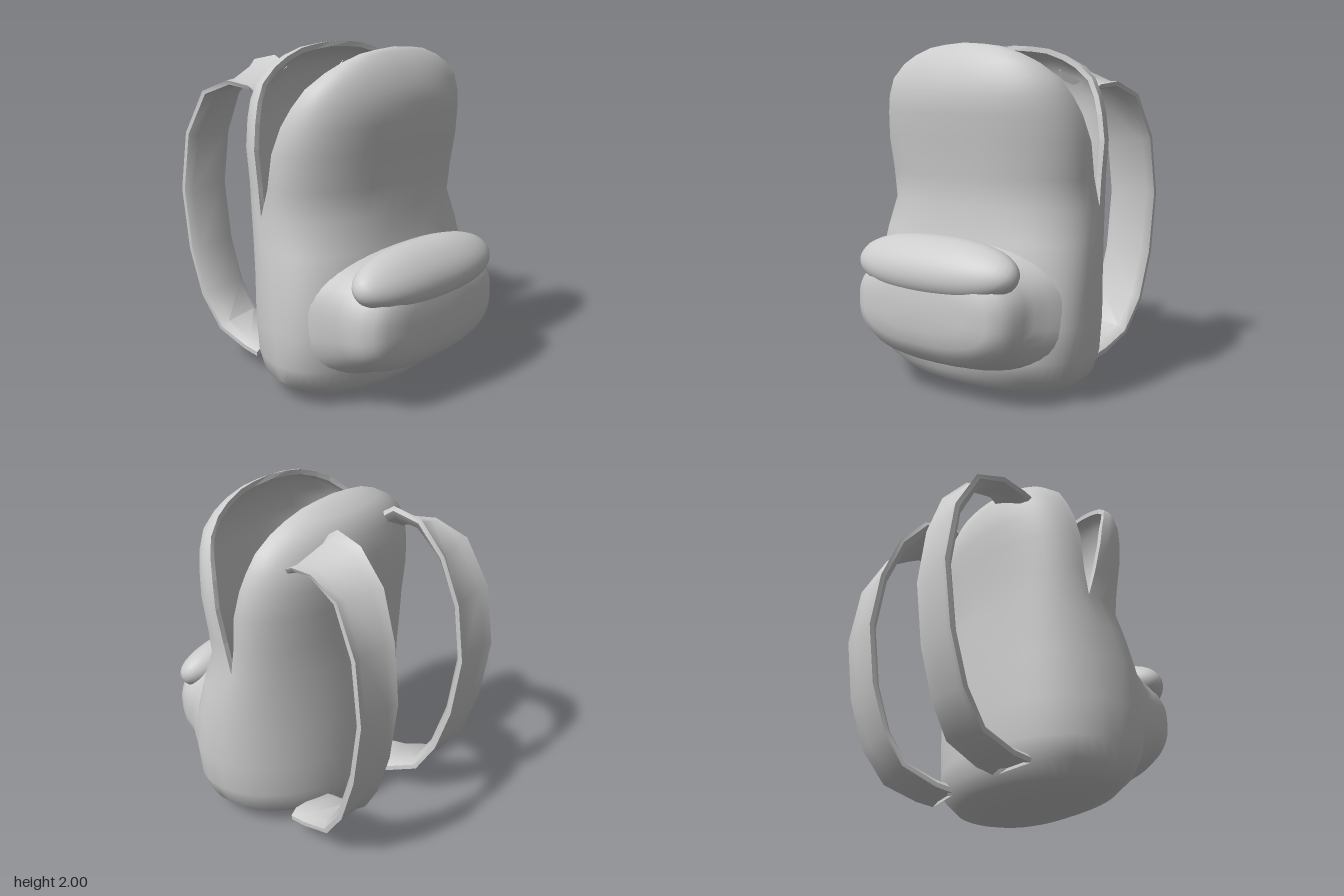
import * as THREE from 'three';
import { mergeVertices, toCreasedNormals } from 'three/addons/utils/BufferGeometryUtils.js';

const material = new THREE.MeshStandardMaterial({ color: 0xcccccc, side: THREE.DoubleSide });
const { lerp, smoothstep } = THREE.MathUtils;

// Body levels: y, half width, front z, front seam z, back seam z, back z.
// The two seams part above y = 1.08, which opens the bag.
const LEVELS = [
  [0, 0, 0.12, 0.12, 0.12, 0.12],
  [0.01, 0.43, 0.38, 0.15, 0.15, -0.12],
  [0.05, 0.59, 0.48, 0.17, 0.17, -0.26],
  [0.13, 0.685, 0.55, 0.19, 0.19, -0.33],
  [0.25, 0.725, 0.58, 0.2, 0.2, -0.345],
  [0.45, 0.74, 0.58, 0.2, 0.2, -0.35],
  [0.7, 0.73, 0.56, 0.17, 0.17, -0.345],
  [0.9, 0.71, 0.53, 0.11, 0.11, -0.34],
  [1.08, 0.69, 0.49, 0.045, 0.045, -0.335],
  [1.25, 0.685, 0.5, 0.1, 0.02, -0.335],
  [1.45, 0.69, 0.525, 0.145, 0, -0.35],
  [1.6, 0.66, 0.545, 0.19, -0.02, -0.36],
  [1.7, 0.625, 0.55, 0.235, -0.04, -0.355],
  [1.8, 0.57, 0.53, 0.285, -0.058, -0.33],
  [1.88, 0.47, 0.495, 0.33, -0.072, -0.3],
  [1.93, 0.37, 0.465, 0.355, -0.083, -0.25],
  [1.97, 0.25, 0.43, 0.375, -0.093, -0.19],
  [1.985, 0.14, 0.41, 0.385, -0.098, -0.14],
  [1.995, 0, 0.39, 0.39, -0.1, -0.1],
];

const power = (v, e) => Math.sign(v) * Math.abs(v) ** e;
// The front is boxiest around the pocket, rounder at the foot and the top
const frontExponent = (y) => 0.78 + 0.17 * (1 - smoothstep(y, 0.05, 0.35)) + 0.09 * smoothstep(y, 0.7, 1.2);

function geometryFrom(positions, index) {
  const geo = new THREE.BufferGeometry();
  geo.setAttribute('position', new THREE.Float32BufferAttribute(positions, 3));
  if (index) geo.setIndex(index);
  return geo;
}

// Outer skin: a front and a back half section at every level, welded below the opening
function bodySkin() {
  const N = 28, pos = [];
  for (const front of [true, false]) {
    const point = (i, j) => {
      const [y, w, zf, seamF, seamB, zb] = LEVELS[j];
      const a = (i / N) * Math.PI, e = front ? frontExponent(y) : 0.98;
      const seam = front ? seamF : seamB, far = front ? zf : zb;
      return [w * power(Math.cos(a), e), y, seam + (far - seam) * power(Math.sin(a), e)];
    };
    for (let j = 0; j < LEVELS.length - 1; j++) {
      for (let i = 0; i < N; i++) {
        const a = point(i, j), b = point(i + 1, j), c = point(i + 1, j + 1), d = point(i, j + 1);
        const tris = front ? [a, d, b, b, d, c] : [a, b, d, b, c, d];
        pos.push(...tris.flat());
      }
    }
  }
  const geo = mergeVertices(geometryFrom(pos), 1e-4);
  const index = [], old = geo.index.array;
  for (let k = 0; k < old.length; k += 3) {
    const [a, b, c] = [old[k], old[k + 1], old[k + 2]];
    if (a !== b && b !== c && c !== a) index.push(a, b, c);
  }
  geo.setIndex(index);
  geo.computeVertexNormals();
  return geo;
}

// Lining set inside the skin, and a rim joining the open edges of both
function liningAndRim(skin, thickness) {
  const p = skin.attributes.position, n = skin.attributes.normal, idx = Array.from(skin.index.array);
  const outer = [], inner = [];
  for (let i = 0; i < p.count; i++) {
    const v = new THREE.Vector3().fromBufferAttribute(p, i);
    outer.push(v.toArray());
    inner.push(v.addScaledVector(new THREE.Vector3().fromBufferAttribute(n, i), -thickness).toArray());
  }
  const lining = geometryFrom(inner.flat(), idx.slice().reverse());
  lining.computeVertexNormals();

  const edges = new Map(), rim = [];
  for (let k = 0; k < idx.length; k += 3) {
    for (let s = 0; s < 3; s++) {
      const a = idx[k + s], b = idx[k + ((s + 1) % 3)];
      edges.set(`${a}_${b}`, [a, b]);
    }
  }
  for (const [a, b] of edges.values()) {
    if (edges.has(`${b}_${a}`)) continue;
    rim.push(...outer[b], ...outer[a], ...inner[a], ...outer[b], ...inner[a], ...inner[b]);
  }
  const rimGeo = geometryFrom(rim);
  rimGeo.computeVertexNormals();
  return [lining, rimGeo];
}

// Depth of the body's front surface at a given x and y
function frontZ(x, y) {
  const j = LEVELS.findIndex((l) => l[0] >= y), lo = LEVELS[j - 1], hi = LEVELS[j];
  const t = (y - lo[0]) / (hi[0] - lo[0]), e = frontExponent(y);
  const [w, zf, seam] = [1, 2, 3].map((k) => lerp(lo[k], hi[k], t));
  return seam + (zf - seam) * Math.max(0, 1 - Math.abs(x / w) ** (2 / e)) ** (e / 2);
}

// Pocket: rings that flare out of the body surface and close on a flat front
function pocketGeometry() {
  // Ring half width, half height, and share of the way from body to pocket front
  const rings = [
    [0.685, 0.372, -0.03], [0.635, 0.358, 0.09], [0.585, 0.345, 0.22], [0.565, 0.333, 0.38],
    [0.548, 0.305, 0.58], [0.51, 0.26, 0.78], [0.44, 0.2, 0.91], [0.3, 0.12, 0.98], [0, 0, 1],
  ];
  const N = 48, pos = [], index = [];
  rings.forEach(([rx, ry, d], k) => {
    for (let i = 0; i < N; i++) {
      const a = (i / N) * Math.PI * 2, e = Math.sin(a) > 0 ? 0.85 : 0.7;
      const x = rx * power(Math.cos(a), e), y = 0.54 + ry * power(Math.sin(a), e);
      pos.push(x, y, lerp(frontZ(x, y), 0.805, d));
      if (k === 0) continue;
      const p = (k - 1) * N + i, q = (k - 1) * N + ((i + 1) % N);
      index.push(p, q, p + N, q, q + N, p + N);
    }
  });
  const geo = mergeVertices(geometryFrom(pos, index), 1e-4);
  geo.computeVertexNormals();
  return geo;
}

// Puffed flap: a sphere squared off by an exponent on each axis
function flapGeometry(radii, exps) {
  const geo = new THREE.SphereGeometry(1, 40, 24);
  geo.deleteAttribute('uv');
  geo.deleteAttribute('normal');
  const p = geo.attributes.position;
  for (let i = 0; i < p.count; i++) {
    const v = [p.getX(i), p.getY(i), p.getZ(i)];
    p.setXYZ(i, ...v.map((c, k) => radii[k] * power(c, exps[k])));
  }
  const merged = mergeVertices(geo, 1e-4);
  merged.computeVertexNormals();
  return merged;
}

// Strap: a bowed band swept along points of x, y, z, roll, and skew that fits its end to the bag
function strapGeometry(side) {
  const path = [
    [0.355, 1.765, -0.25, 0.5, 0.3], [0.358, 1.805, -0.31, 0.5, 0.2], [0.385, 1.795, -0.46, 0.42, 0],
    [0.415, 1.675, -0.625, 0.2, 0], [0.445, 1.415, -0.745, 0.05, 0], [0.455, 1.07, -0.795, 0, 0],
    [0.45, 0.7, -0.75, 0, 0], [0.435, 0.42, -0.665, 0, 0], [0.405, 0.235, -0.55, 0, 0],
    [0.375, 0.155, -0.36, 0, 0], [0.365, 0.135, -0.25, 0, 0],
  ];
  // Band section across the width and through the thickness
  const section = [[-0.5, -0.038], [-0.3, -0.02], [0.3, -0.02], [0.5, -0.038], [0.5, -0.01], [0.36, 0.022], [-0.36, 0.022], [-0.5, -0.01]];
  const pts = path.map(([x, y, z]) => new THREE.Vector3(x, y, z));
  const M = section.length, pos = [], index = [];
  path.forEach(([, , , roll, skew], k) => {
    const tangent = pts[Math.min(k + 1, pts.length - 1)].clone().sub(pts[Math.max(k - 1, 0)]).normalize();
    const across = new THREE.Vector3(Math.cos(roll), -Math.sin(roll), 0);
    across.addScaledVector(tangent, -across.dot(tangent)).normalize();
    const out = tangent.clone().cross(across);
    for (const [u, v] of section) {
      const q = pts[k].clone().addScaledVector(across, u * 0.31).addScaledVector(out, v);
      pos.push(q.x * side, q.y, q.z + u * 0.31 * skew);
    }
    if (k === 0) return;
    for (let s = 0; s < M; s++) {
      const a = (k - 1) * M + s, b = (k - 1) * M + ((s + 1) % M);
      index.push(a, a + M, b, b, a + M, b + M);
    }
  });
  const last = (path.length - 1) * M;
  for (let s = 1; s < M - 1; s++) index.push(0, s, s + 1, last, last + s + 1, last + s);
  if (side < 0) index.reverse();
  return toCreasedNormals(geometryFrom(pos, index), 0.85);
}

export function createModel() {
  const model = new THREE.Group();
  model.name = 'backpack';
  const add = (name, geo) => {
    const mesh = new THREE.Mesh(geo, material);
    mesh.name = name;
    model.add(mesh);
    return mesh;
  };

  // Open bag
  const skin = bodySkin();
  const [lining, rim] = liningAndRim(skin, 0.03);
  add('bodyShell', skin);
  add('bodyLining', lining);
  add('openingRim', rim);

  // Front pocket with its tilted flap
  add('frontPocket', pocketGeometry());
  const flap = add('pocketFlap', flapGeometry([0.55, 0.185, 0.15], [0.8, 0.95, 0.9]));
  flap.position.set(0, 0.758, 0.652);
  flap.rotation.x = -Math.PI / 4;

  // Shoulder straps
  add('leftStrap', strapGeometry(1));
  add('rightStrap', strapGeometry(-1));
  return model;
}
